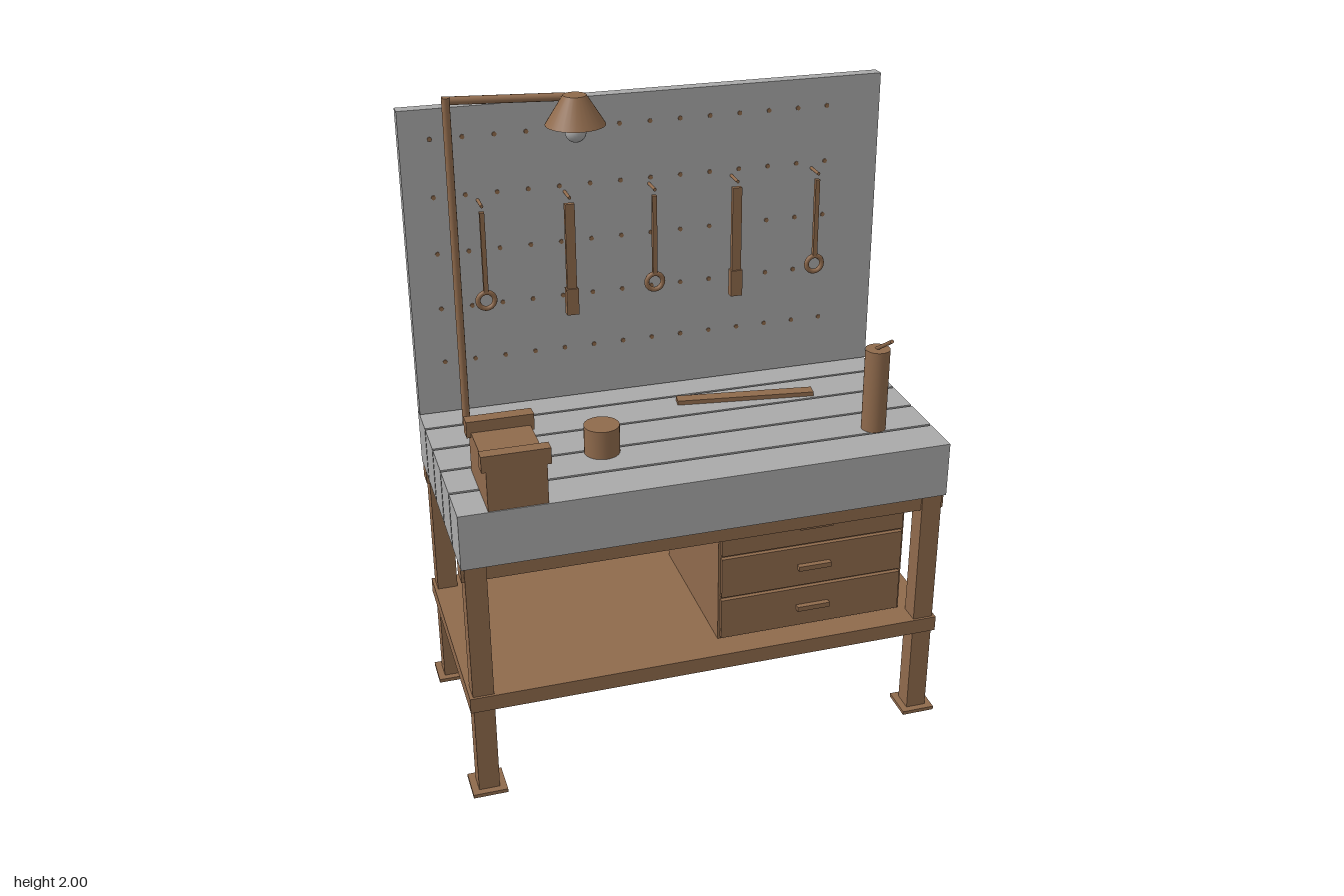
import * as THREE from 'three';

export function createModel() {
  const root = new THREE.Group();
  root.name = 'workbench';
  const wood = new THREE.MeshStandardMaterial({ color: 0x8f6a4c });
  wood.name = 'brown';
  const grey = new THREE.MeshStandardMaterial({ color: 0xa9a9a9 });
  grey.name = 'grey';

  const add = (name, geo, mat, x, y, z) => {
    const m = new THREE.Mesh(geo, mat);
    m.name = name;
    m.position.set(x, y, z);
    root.add(m);
    return m;
  };
  // Box from its bounds
  const box = (name, mat, x0, x1, y0, y1, z0, z1) =>
    add(name, new THREE.BoxGeometry(x1 - x0, y1 - y0, z1 - z0), mat,
      (x0 + x1) / 2, (y0 + y1) / 2, (z0 + z1) / 2);
  // Round rod between two points
  const rod = (name, a, b, r) => {
    const p = new THREE.Vector3(...a), d = new THREE.Vector3(...b).sub(p);
    const m = add(name, new THREE.CylinderGeometry(r, r, d.length(), 12), wood, 0, 0, 0);
    m.position.copy(p).addScaledVector(d, 0.5);
    m.quaternion.setFromUnitVectors(new THREE.Vector3(0, 1, 0), d.normalize());
    return m;
  };

  // Frame: legs, feet, front and back rails
  for (const sz of [-1, 1]) {
    for (const sx of [-1, 1]) {
      const x = 0.708 * sx, z = 0.31 * sz;
      box('leg', wood, x - 0.032, x + 0.032, 0.01, 0.8, z - 0.032, z + 0.032);
      box('foot', wood, x - 0.053, x + 0.053, 0, 0.012, z - 0.053, z + 0.053);
    }
    box('rail', wood, -0.749, 0.749, 0.75, 0.798, 0.307 * sz - 0.028, 0.307 * sz + 0.028);
  }
  box('shelf', wood, -0.75, 0.75, 0.305, 0.355, -0.35, 0.35);

  // Worktop planks with narrow gaps
  for (let i = -2; i <= 2; i++) {
    const z = i * 0.142;
    box('plank', grey, -0.75, 0.75, 0.8, 0.975, z - 0.0665, z + 0.0665);
  }

  // Drawer cabinet
  box('cabinet', wood, 0.045, 0.655, 0.358, 0.798, -0.26, 0.266);
  for (let i = 0; i < 3; i++) {
    const y = 0.367 + i * 0.147;
    box('drawer', wood, 0.052, 0.645, y, y + 0.136, 0.262, 0.28);
    box('drawerHandle', wood, 0.298, 0.404, y + 0.06, y + 0.076, 0.278, 0.297);
  }

  // Pegboard with rows of pegs
  box('pegboard', grey, -0.75, 0.75, 0.98, 1.945, -0.35, -0.308);
  const pegGeo = new THREE.CylinderGeometry(0.007, 0.007, 0.006, 8).rotateX(Math.PI / 2);
  for (let r = 0; r < 5; r++)
    for (let c = 0; c < 14; c++)
      add('peg', pegGeo, wood, -0.66 + c * 0.0949, 1.15 + r * 0.1765, -0.307);

  // Hooks and hanging tools
  for (let i = 0; i < 5; i++) {
    const x = -0.53 + i * 0.265, z = -0.253;
    rod('hook', [x, 1.66, -0.31], [x, 1.66, -0.243], 0.005);
    if (i % 2 === 0) {
      box('wrenchShaft', wood, x - 0.007, x + 0.007, 1.385, 1.64, z - 0.007, z + 0.007);
      add('wrenchRing', new THREE.TorusGeometry(0.026, 0.008, 8, 20), wood, x, 1.36, z);
    } else {
      box('toolBlade', wood, x - 0.015, x + 0.015, 1.365, 1.64, z - 0.008, z + 0.008);
      box('toolGrip', wood, x - 0.019, x + 0.019, 1.285, 1.37, z - 0.013, z + 0.013);
    }
  }

  // Lamp
  rod('lampPole', [-0.62, 0.975, -0.218], [-0.62, 1.998, -0.218], 0.012);
  rod('lampArm', [-0.63, 1.987, -0.228], [-0.285, 1.987, -0.172], 0.012);
  add('lampShade', new THREE.CylinderGeometry(0.034, 0.088, 0.085, 28), wood, -0.266, 1.9575, -0.136);
  add('bulb', new THREE.SphereGeometry(0.031, 20, 14), grey, -0.266, 1.893, -0.136);

  // Vise
  box('viseBody', wood, -0.662, -0.488, 0.975, 1.115, 0.09, 0.347);
  box('viseJaw', wood, -0.675, -0.476, 1.1, 1.15, 0.312, 0.35);
  box('viseJaw', wood, -0.675, -0.476, 1.1, 1.15, 0.087, 0.128);

  // Loose items on the worktop
  add('tin', new THREE.CylinderGeometry(0.054, 0.054, 0.09, 28), wood, -0.266, 1.02, 0.087);
  add('oilCan', new THREE.CylinderGeometry(0.038, 0.038, 0.265, 24), wood, 0.572, 1.1075, 0.178);
  rod('oilSpout', [0.572, 1.237, 0.17], [0.572, 1.303, 0.273], 0.006);
  const bar = add('flatBar', new THREE.BoxGeometry(0.44, 0.014, 0.04), wood, 0.263, 0.982, -0.136);
  bar.rotation.y = -0.14;

  return root;
}
